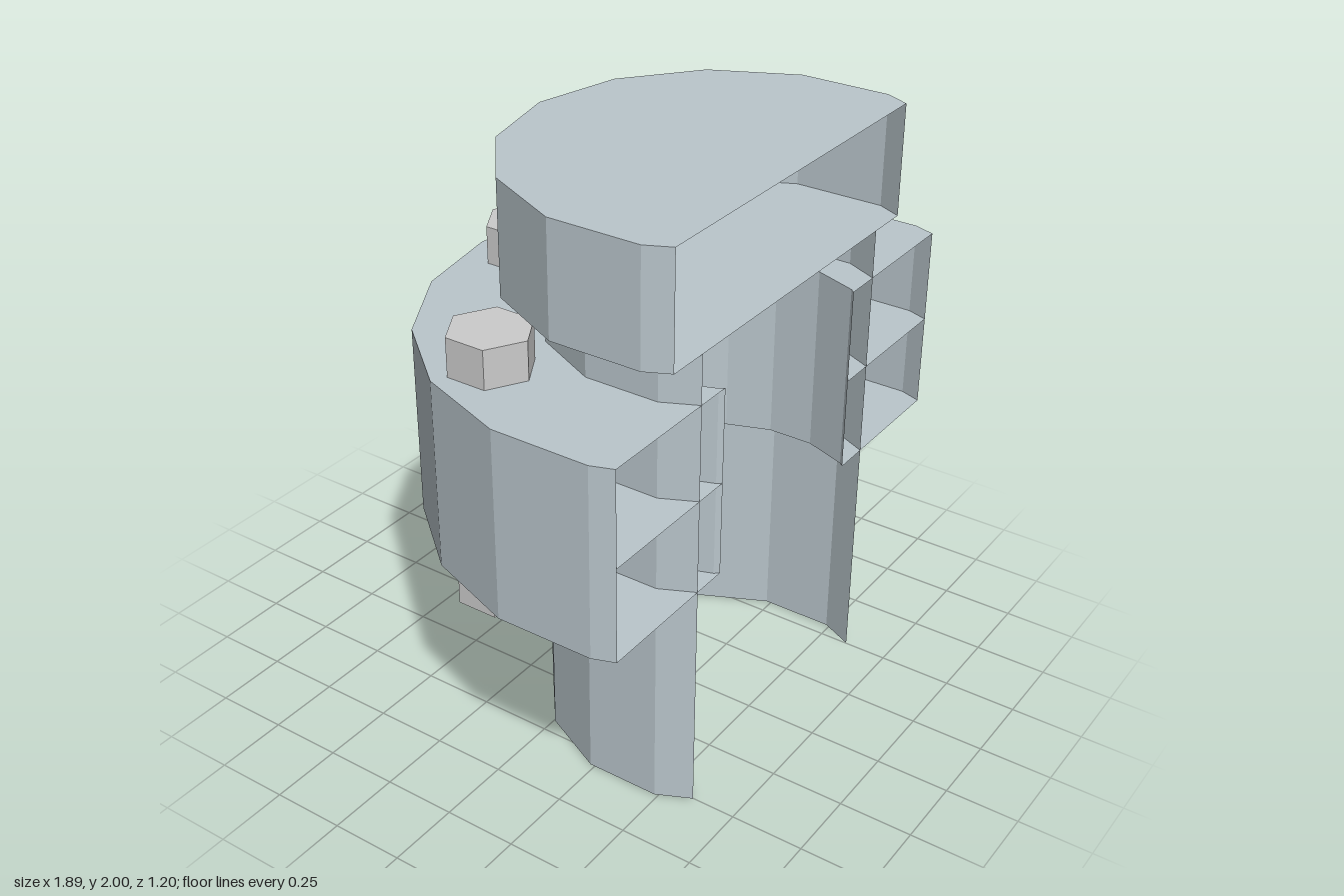
import * as THREE from 'three';

const CENTRE_Z = 0.36; // axis of the pipe
const CUT_Z = 0.6;     // plane of the section cut

const steel = new THREE.MeshStandardMaterial({ color: 0xbac6cc, flatShading: true, side: THREE.DoubleSide });
const grey = new THREE.MeshStandardMaterial({ color: 0xcccccc, flatShading: true, side: THREE.DoubleSide });

// Points (x, z) of a regular polygon around the axis, clipped at the cut, from +x over the back to -x
function cutArc(radius, sides) {
  const at = i => {
    const a = (i / sides) * Math.PI * 2;
    return new THREE.Vector2(radius * Math.sin(a), CENTRE_Z - radius * Math.cos(a));
  };
  const half = [];
  for (let i = 0; ; i++) {
    const p = at(i);
    if (p.y >= CUT_Z) {
      const q = at(i - 1);
      half.push(q.lerp(p, (CUT_Z - q.y) / (p.y - q.y)));
      break;
    }
    half.push(p);
  }
  const mirrored = half.slice(1).map(p => new THREE.Vector2(-p.x, p.y));
  return [...half.reverse(), ...mirrored];
}

function add(parent, name, geometry, material = steel) {
  const mesh = new THREE.Mesh(geometry, material);
  mesh.name = name;
  parent.add(mesh);
  return mesh;
}

// Thin upright wall along an arc
function wall(arc, y0, y1) {
  const g = new THREE.PlaneGeometry(1, 1, arc.length - 1, 1);
  const pos = g.attributes.position;
  for (let i = 0; i < pos.count; i++) {
    const p = arc[i % arc.length];
    pos.setXYZ(i, p.x, i < arc.length ? y1 : y0, p.y);
  }
  g.computeVertexNormals();
  return g;
}

// Thin level plate inside an outline of (x, z) points
function plate(outline, y) {
  const shape = new THREE.Shape(outline.map(p => new THREE.Vector2(p.x, -p.y)));
  return new THREE.ShapeGeometry(shape).rotateX(-Math.PI / 2).translate(0, y, 0);
}

export function createModel() {
  const model = new THREE.Group();
  model.name = 'sectionedFlangedPipe';

  // Open half pipe
  add(model, 'pipe', wall(cutArc(0.57, 14), 0, 1.62));

  // Hollow cap
  const cap = new THREE.Group();
  cap.name = 'cap';
  const capArc = cutArc(0.703, 14);
  add(cap, 'capWall', wall(capArc, 1.62, 2));
  add(cap, 'capTop', plate(capArc, 2));
  add(cap, 'capBottom', plate(capArc, 1.62));
  model.add(cap);

  // Pair of hollow flanges sharing a middle plate
  const flange = new THREE.Group();
  flange.name = 'flange';
  const outer = cutArc(0.96, 18);
  const inner = cutArc(0.45, 18);
  add(flange, 'flangeOuterWall', wall(outer, 0.81, 1.455));
  add(flange, 'flangeInnerWall', wall(inner, 0.81, 1.455));
  const ring = [...outer, ...[...inner].reverse()];
  for (const y of [0.81, 1.1325, 1.455]) add(flange, 'flangePlate', plate(ring, y));
  model.add(flange);

  // Hexagonal bolts, open underneath
  for (const angle of [-60, 0, 60]) {
    const a = THREE.MathUtils.degToRad(angle);
    const bolt = new THREE.Group();
    bolt.name = 'bolt';
    bolt.position.set(0.77 * Math.sin(a), 1.12, CENTRE_Z - 0.77 * Math.cos(a));
    add(bolt, 'boltSides', new THREE.CylinderGeometry(0.138, 0.138, 0.93, 6, 1, true), grey);
    add(bolt, 'boltTop', new THREE.CircleGeometry(0.138, 6, Math.PI / 2)
      .rotateX(-Math.PI / 2).translate(0, 0.465, 0), grey);
    model.add(bolt);
  }
  return model;
}
